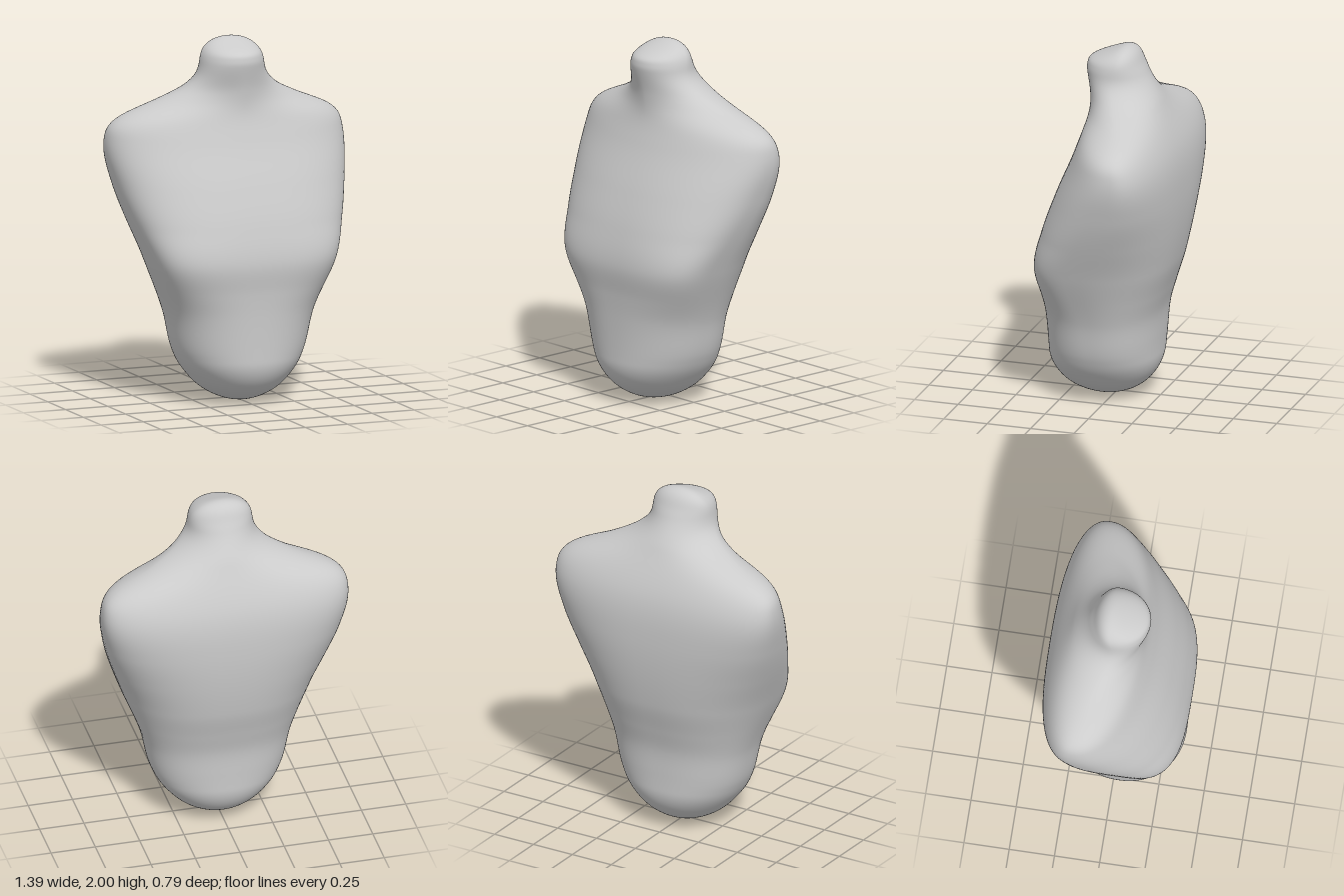
import * as THREE from 'three';

const { smoothstep } = THREE.MathUtils;
const HEIGHT = 2;

// Smooth curve through [height, value] pairs, read by height
function profile(...points) {
  const curve = new THREE.CubicInterpolant(points.map((p) => p[0]), points.map((p) => p[1]), 1);
  return (y) => curve.evaluate(y)[0];
}

// Outline seen from the front
const halfWidth = profile([0, 0.27], [0.07, 0.294], [0.145, 0.31], [0.22, 0.337], [0.3, 0.369], [0.5, 0.415],
  [0.8, 0.53], [1.2, 0.66], [1.45, 0.69], [1.53, 0.66], [1.575, 0.6], [1.66, 0.4], [1.72, 0.28],
  [1.78, 0.212], [1.86, 0.18], [1.95, 0.19], [2, 0.205]);
// Outline seen from the side: chest, back, and the line of the flanks and shoulders
const front = profile([0, 0.365], [0.5, 0.371], [0.63, 0.379], [0.8, 0.395], [1, 0.355], [1.2, 0.287],
  [1.45, 0.187], [1.6, 0.144], [1.72, 0.143], [1.89, 0.171], [1.93, 0.17], [2, 0.05]);
const back = profile([0, -0.25], [0.35, -0.257], [0.5, -0.268], [0.63, -0.302], [0.8, -0.35],
  [1.2, -0.395], [1.45, -0.373], [1.7, -0.265], [1.9, -0.155], [2, -0.155]);
const flank = profile([0, 0.05], [0.5, 0.05], [0.8, 0.08], [1, 0], [1.2, -0.09], [1.45, -0.16],
  [1.62, -0.13], [1.8, -0.02], [2, -0.05]);
// Superellipse exponents: 2 is round, higher is boxier
const frontRound = profile([0, 2], [0.5, 2.4], [0.8, 3.1], [1, 2.6], [1.35, 2.15], [1.55, 1.9], [1.68, 1.65], [1.85, 2], [2, 2]);
const backRound = profile([0, 2], [0.4, 2.4], [1, 2.5], [1.4, 2.7], [1.7, 2], [2, 2]);

// Quarter-circle closing of an end, from 0 at the tip to 1 at the given depth
const dome = (distance, depth) => Math.sqrt(1 - Math.max(0, 1 - distance / depth) ** 2);

const signedPow = (v, p) => Math.sign(v) * Math.abs(v) ** p;

function loftTorso(rows = 160, sides = 96) {
  const positions = [], index = [];
  for (let j = 0; j <= rows; j++) {
    // Rows crowd together towards the rounded ends
    const y = HEIGHT * (1 - Math.cos((j / rows) * Math.PI)) / 2;
    const shrink = dome(y, 0.25) * dome(HEIGHT - y, 0.14);
    const centre = -0.012 * smoothstep(y, 1.7, 1.85);
    const width = halfWidth(y) * shrink, middle = flank(y);
    for (let i = 0; i < sides; i++) {
      const angle = (i / sides) * Math.PI * 2;
      const c = Math.cos(angle), s = Math.sin(angle);
      const power = 2 / (s >= 0 ? frontRound(y) : backRound(y));
      const reach = Math.abs((s >= 0 ? front(y) : back(y)) - middle) * shrink;
      positions.push(centre + width * signedPow(c, power), y, middle + reach * signedPow(s, power));
      if (j < rows) {
        const a = j * sides + i, b = j * sides + (i + 1) % sides;
        index.push(a, a + sides, b, b, a + sides, b + sides);
      }
    }
  }
  const geometry = new THREE.BufferGeometry();
  geometry.setAttribute('position', new THREE.Float32BufferAttribute(positions, 3));
  geometry.setIndex(index);
  geometry.computeVertexNormals();
  return geometry;
}

export function createModel() {
  const group = new THREE.Group();
  group.name = 'dressFormBust';
  const torso = new THREE.Mesh(loftTorso(), new THREE.MeshStandardMaterial({ color: 0xcccccc }));
  torso.name = 'torso';
  group.add(torso);
  return group;
}
